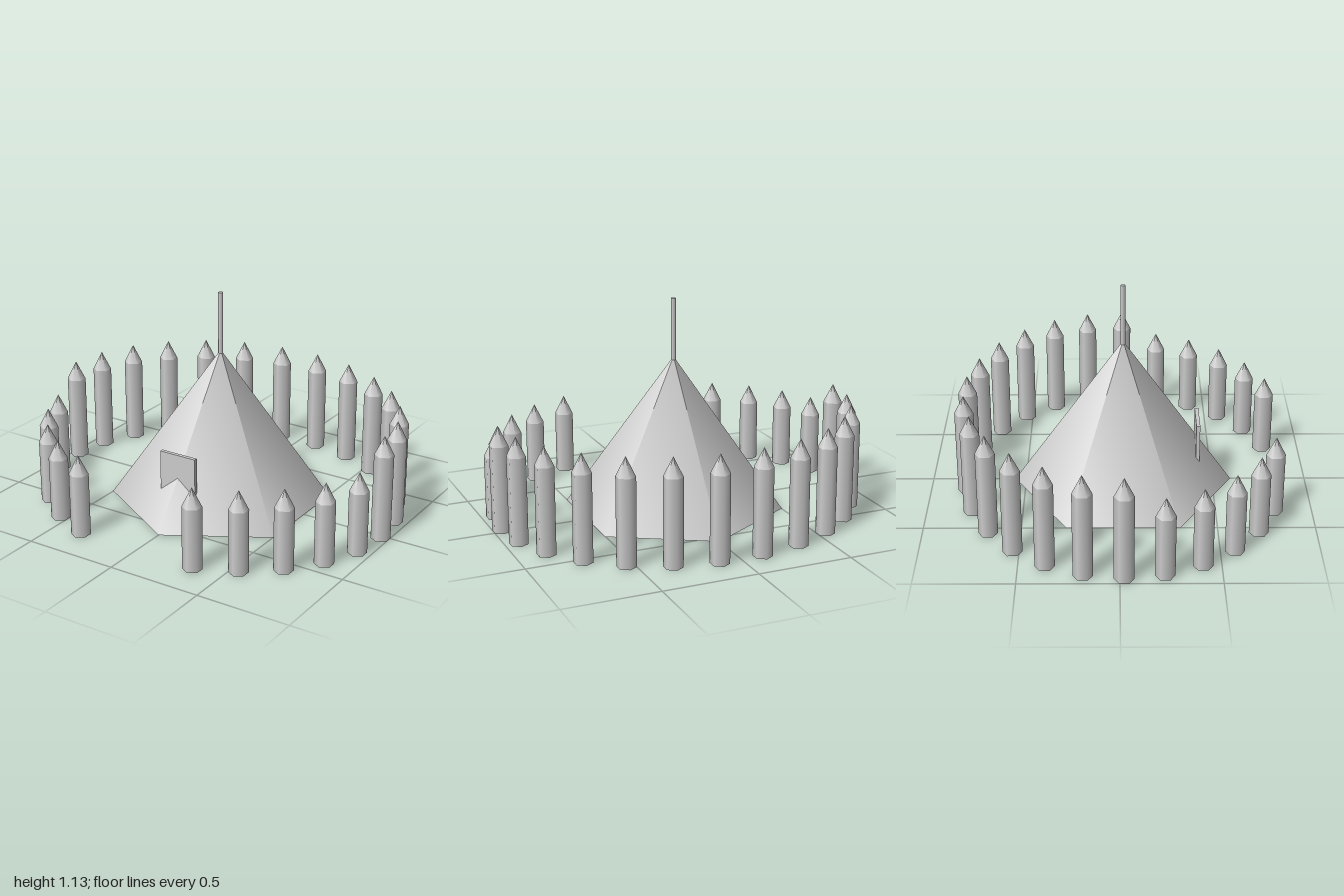
import * as THREE from 'three';

const material = new THREE.MeshStandardMaterial({ color: 0xcccccc });

function part(name, geometry, x, y, z) {
  const mesh = new THREE.Mesh(geometry, material);
  mesh.name = name;
  mesh.position.set(x, y, z);
  return mesh;
}

// Six-sided stake with a pointed tip
function makeStake(shaftHeight) {
  const radius = 0.05, tipHeight = 0.1;
  const stake = new THREE.Group();
  stake.name = 'stake';
  stake.add(part('stakeShaft', new THREE.CylinderGeometry(radius, radius, shaftHeight, 6), 0, shaftHeight / 2, 0));
  stake.add(part('stakeTip', new THREE.ConeGeometry(radius, tipHeight, 6), 0, shaftHeight + tipHeight / 2, 0));
  return stake;
}

export function createModel() {
  const model = new THREE.Group();
  model.name = 'palisadeCamp';
  const centreZ = 0.02;

  // Tent, its pole and the door panel set into the front ridge
  const tentHeight = 0.82;
  model.add(part('tent', new THREE.ConeGeometry(0.58, tentHeight, 6), 0, tentHeight / 2, centreZ));
  model.add(part('pole', new THREE.CylinderGeometry(0.013, 0.013, 0.35, 6), 0, 0.955, centreZ));
  model.add(part('doorPanel', new THREE.BoxGeometry(0.21, 0.375, 0.02), 0, 0.1875, 0.415));

  // Oval palisade: lower stakes along the front half, two left out for the gate
  const count = 26;
  const palisade = new THREE.Group();
  palisade.name = 'palisade';
  for (let i = 0; i < count; i++) {
    if (i === 6 || i === 7) continue;
    const angle = (i / count) * Math.PI * 2;
    const isFront = i > 0 && i < count / 2;
    const stake = makeStake(isFront ? 0.335 : 0.46);
    stake.position.set(0.957 * Math.cos(angle), 0, centreZ + 0.833 * Math.sin(angle));
    palisade.add(stake);
  }
  model.add(palisade);
  return model;
}
